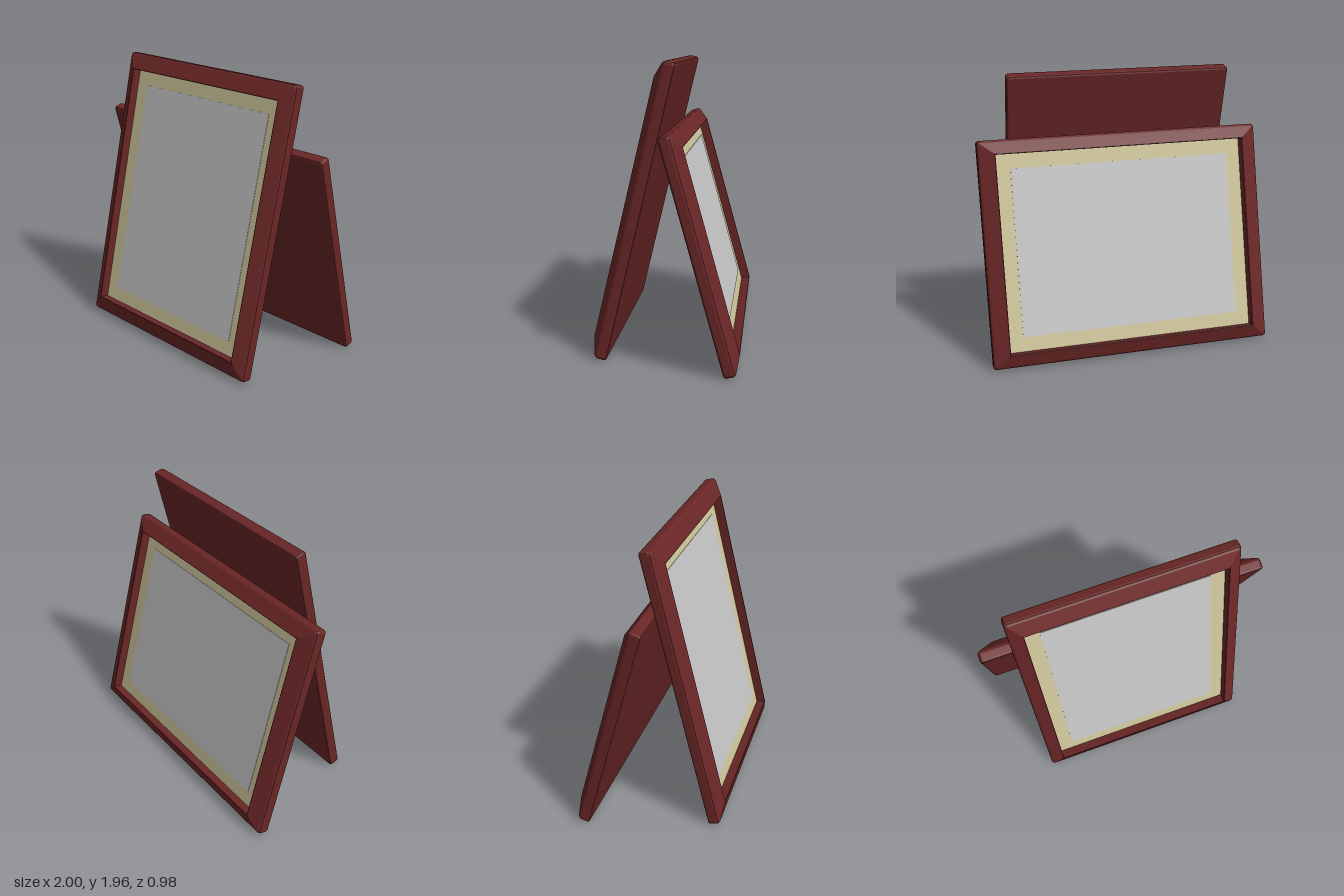
import * as THREE from 'three';

const wood = new THREE.MeshStandardMaterial({ color: 0x6a2626, flatShading: true });
wood.name = 'mahogany wood';
const cream = new THREE.MeshStandardMaterial({ color: 0xcdc59a });
cream.name = 'cream mat';
const grey = new THREE.MeshStandardMaterial({ color: 0xc6c6c6 });
grey.name = 'grey picture';

// Half sizes of the frame and widths of its bars
const HX = 0.78, HY = 1.0, BAR_X = 0.1, BAR_Y = 0.12;

// One ring of the moulding: a rectangle with rounded corners, counter-clockwise
function ring(hx, hy, z, r) {
  const points = [], steps = 3;
  [[1, -1], [1, 1], [-1, 1], [-1, -1]].forEach(([sx, sy], corner) => {
    for (let j = 0; j <= steps; j++) {
      const a = (corner - 1 + j / steps) * Math.PI / 2;
      points.push([sx * (hx - r) + r * Math.cos(a), sy * (hy - r) + r * Math.sin(a), z]);
    }
  });
  return points;
}

// Closed back, rounded outer edge, face rising to the opening, then the recess
function mouldingGeometry() {
  const ix = HX - BAR_X, iy = HY - BAR_Y;
  const rings = [
    ring(0, 0, 0, 0),
    ring(HX - 0.015, HY - 0.015, 0, 0.012),
    ring(HX - 0.004, HY - 0.004, 0.005, 0.018),
    ring(HX, HY, 0.016, 0.02),
    ring(HX, HY, 0.062, 0.02),
    ring(HX - 0.004, HY - 0.004, 0.074, 0.018),
    ring(HX - 0.016, HY - 0.016, 0.084, 0.01),
    ring(ix + 0.004, iy + 0.004, 0.124, 0),
    ring(ix, iy, 0.122, 0),
    ring(ix, iy, 0.05, 0),
  ];
  const position = [];
  for (let k = 0; k < rings.length - 1; k++) {
    const n = rings[k].length;
    for (let i = 0; i < n; i++) {
      const j = (i + 1) % n;
      const a = rings[k][i], b = rings[k][j], c = rings[k + 1][j], d = rings[k + 1][i];
      position.push(...a, ...b, ...c, ...a, ...c, ...d);
    }
  }
  const geometry = new THREE.BufferGeometry();
  geometry.setAttribute('position', new THREE.Float32BufferAttribute(position, 3));
  geometry.computeVertexNormals();
  return geometry;
}

function panel(name, w, h, z, material) {
  const mesh = new THREE.Mesh(new THREE.BoxGeometry(w, h, 0.006), material);
  mesh.name = name;
  mesh.position.z = z;
  return mesh;
}

// A whole picture frame, upright, facing +z, with its back on z = 0
function pictureFrame(name) {
  const group = new THREE.Group();
  group.name = name;
  const moulding = new THREE.Mesh(mouldingGeometry(), wood);
  moulding.name = 'moulding';
  const w = 2 * (HX - BAR_X), h = 2 * (HY - BAR_Y);
  group.add(
    moulding,
    panel('mat', w, h, 0.053, cream),
    panel('picture', w - 0.2, h - 0.2, 0.056, grey),
  );
  group.rotation.order = 'YXZ';
  return group;
}

export function createModel() {
  const model = new THREE.Group();
  model.name = 'pictureFrames';

  // Portrait frame leaning back
  const portrait = pictureFrame('portraitFrame');
  portrait.rotation.x = -0.234;
  portrait.position.set(0, 0.975, 0.16);

  // Landscape frame behind it, turned on its side and facing the rear
  const landscape = pictureFrame('landscapeFrame');
  landscape.rotation.set(-0.27, Math.PI, Math.PI / 2);
  landscape.position.set(0, 0.757, -0.193);

  model.add(portrait, landscape);
  return model;
}
